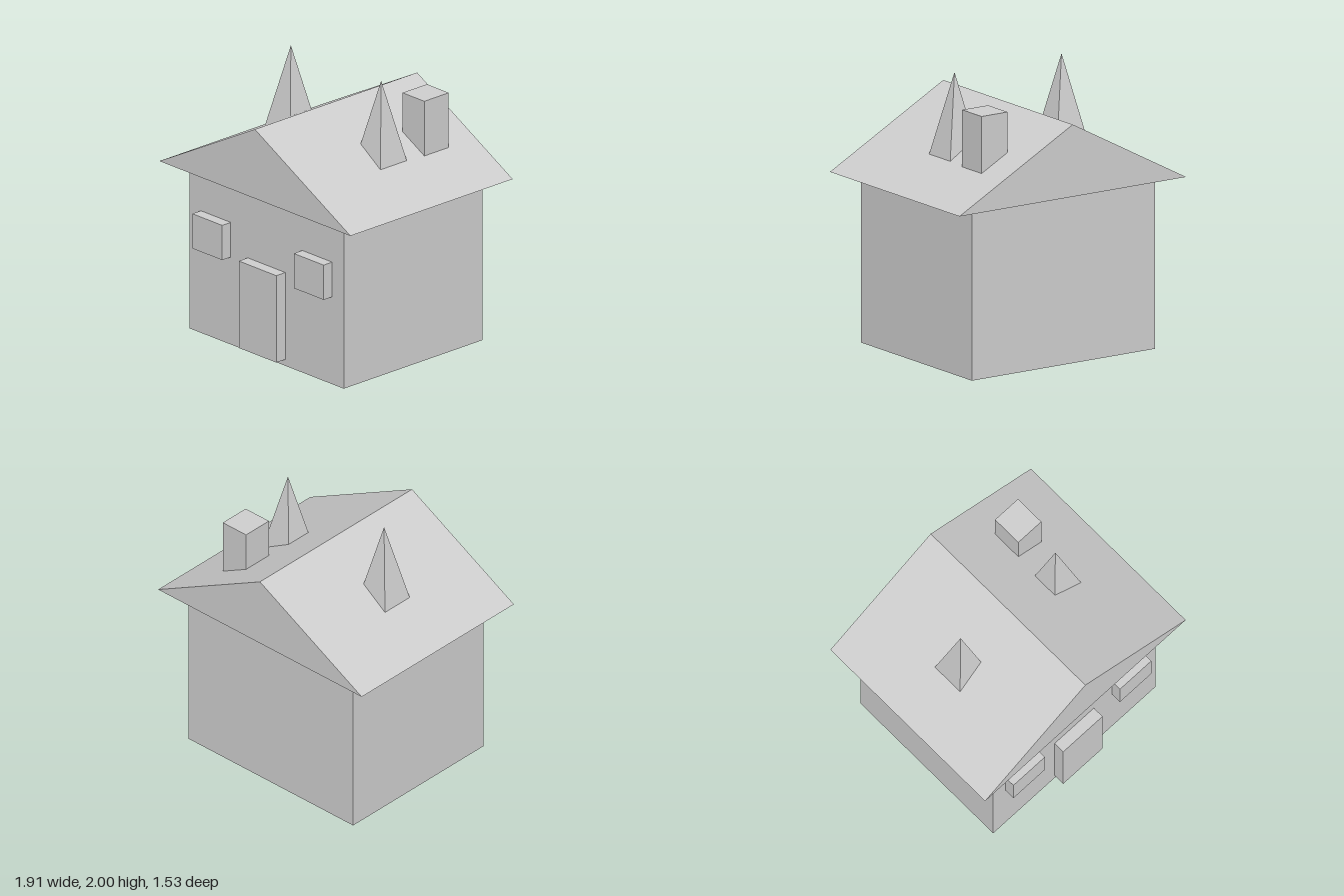
import * as THREE from 'three';

const plaster = new THREE.MeshStandardMaterial({ color: 0xcccccc, flatShading: true, side: THREE.DoubleSide });
plaster.name = 'light grey';

function add(parent, name, geometry, x, y, z) {
  const mesh = new THREE.Mesh(geometry, plaster);
  mesh.name = name;
  mesh.position.set(x, y, z);
  parent.add(mesh);
  return mesh;
}

// Box given by its lower and upper corners
function addBox(parent, name, [x0, y0, z0], [x1, y1, z1]) {
  return add(parent, name, new THREE.BoxGeometry(x1 - x0, y1 - y0, z1 - z0),
    (x0 + x1) / 2, (y0 + y1) / 2, (z0 + z1) / 2);
}

// Gable roof shell: two slopes and two triangular ends, open underneath
function roofGeometry(halfWidth, height, halfDepth) {
  const points = [];
  for (const z of [halfDepth, -halfDepth]) {
    points.push(-halfWidth, 0, z, halfWidth, 0, z, 0, height, z);
  }
  const geometry = new THREE.BufferGeometry();
  geometry.setAttribute('position', new THREE.Float32BufferAttribute(points, 3));
  geometry.setIndex([0, 1, 2, 4, 3, 5, 1, 4, 5, 1, 5, 2, 3, 0, 2, 3, 2, 5]);
  const flat = geometry.toNonIndexed();
  flat.computeVertexNormals();
  return flat;
}

export function createModel() {
  const house = new THREE.Group();
  house.name = 'house';

  addBox(house, 'walls', [-0.77, 0, -0.655], [0.77, 1.21, 0.655]);
  add(house, 'roof', roofGeometry(0.953, 0.51, 0.765), 0, 1.21, 0);
  addBox(house, 'door', [-0.187, 0.047, 0.6], [0.187, 0.688, 0.74]);
  addBox(house, 'chimney', [0.367, 1.215, -0.51], [0.585, 1.81, -0.28]);

  // Four-sided spires and windows on both sides
  const spireHeight = 0.78;
  const spire = new THREE.ConeGeometry(spireHeight * 0.212 * Math.SQRT2, spireHeight, 4, 1);
  spire.rotateY(Math.PI / 4);
  for (const [label, side] of [['left', 1], ['right', -1]]) {
    add(house, label + 'Spire', spire, side * 0.45, 2 - spireHeight / 2, 0);
    add(house, label + 'Window', new THREE.BoxGeometry(0.298, 0.256, 0.135), side * 0.506, 0.772, 0.668);
  }
  return house;
}
